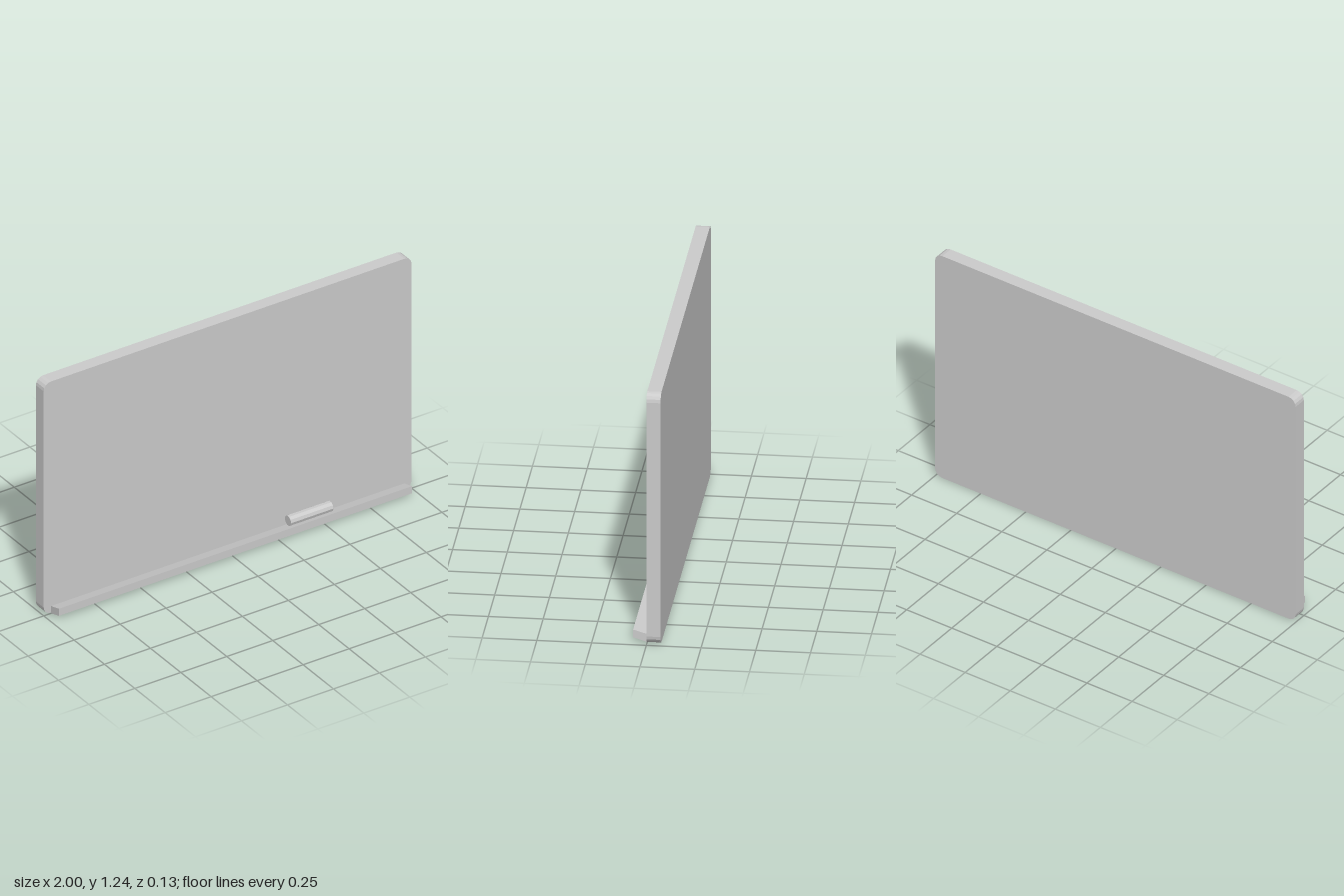
import * as THREE from 'three';

const material = new THREE.MeshStandardMaterial({ color: 0xcccccc, flatShading: true });

function addPart(group, name, geometry) {
  const mesh = new THREE.Mesh(geometry, material);
  mesh.name = name;
  group.add(mesh);
  return mesh;
}

// Rectangle outline with rounded corners
function roundedRect(x0, y0, x1, y1, r) {
  const s = new THREE.Shape();
  s.absarc(x1 - r, y0 + r, r, -Math.PI / 2, 0);
  s.absarc(x1 - r, y1 - r, r, 0, Math.PI / 2);
  s.absarc(x0 + r, y1 - r, r, Math.PI / 2, Math.PI);
  s.absarc(x0 + r, y0 + r, r, Math.PI, Math.PI * 1.5);
  s.closePath();
  return s;
}

export function createModel() {
  const group = new THREE.Group();
  group.name = 'whiteboard';

  // Board slab with two-facet corners
  const depth = 0.065;
  const board = new THREE.ExtrudeGeometry(roundedRect(-1, 0.004, 1, 1.237, 0.04), {
    depth, bevelEnabled: false, curveSegments: 1 * 2,
  });
  addPart(group, 'board', board).position.z = -depth;

  // Sloped tray: side profile (z, y) swept along x
  const profile = new THREE.Shape([
    [0, 0], [0.065, 0.02], [0.065, 0.058], [0, 0.039],
  ].map(([z, y]) => new THREE.Vector2(-z, y)));
  const tray = new THREE.ExtrudeGeometry(profile, { depth: 1.92, bevelEnabled: false });
  tray.translate(0, 0, -0.96).rotateY(Math.PI / 2).rotateY(Math.PI);
  tray.rotateY(Math.PI);
  addPart(group, 'tray', tray);

  // Marker lying in the tray
  const marker = new THREE.CylinderGeometry(0.026, 0.026, 0.23, 10);
  marker.rotateZ(Math.PI / 2);
  addPart(group, 'marker', marker).position.set(0.425, 0.075, 0.027);

  return group;
}
